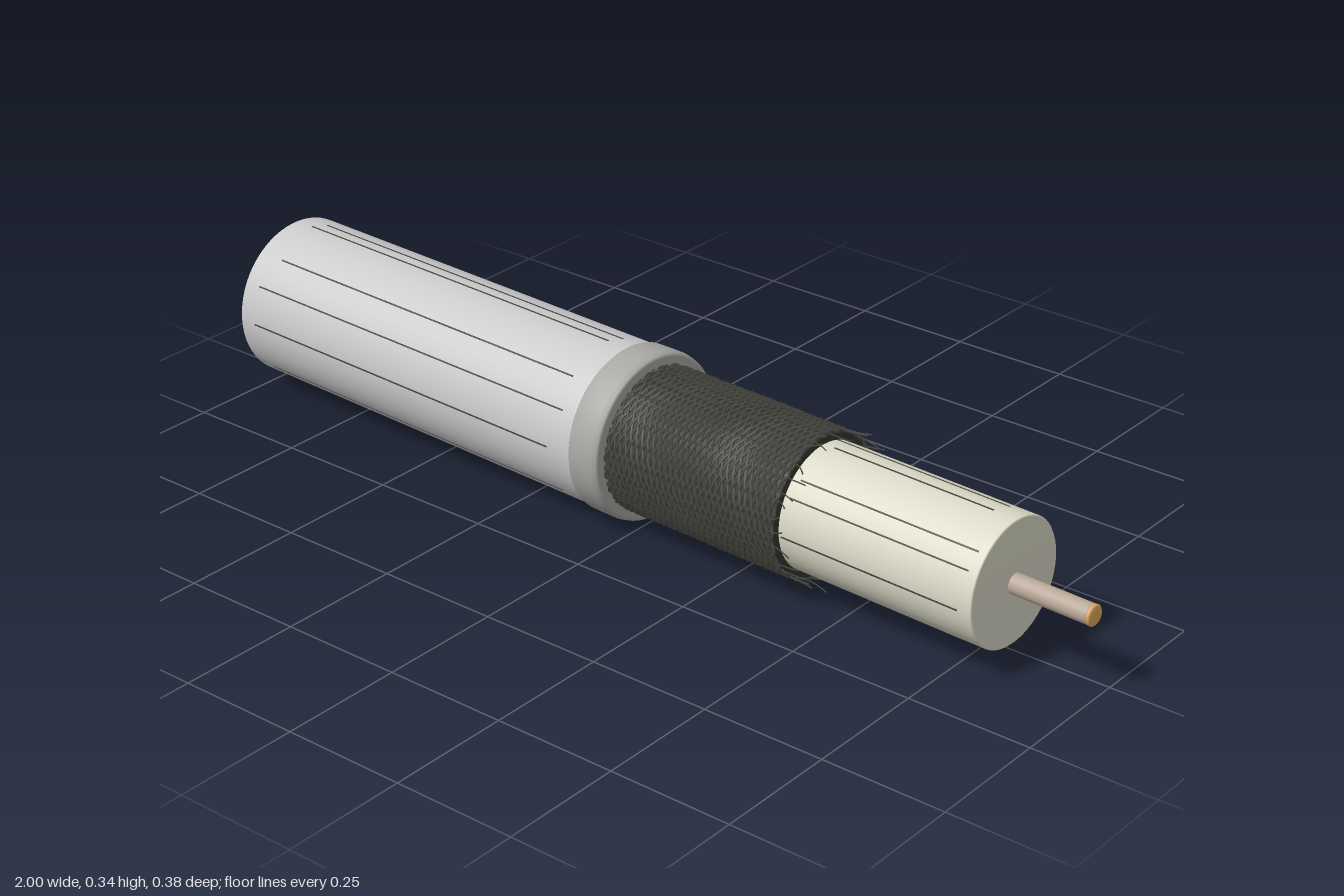
import * as THREE from 'three';

// small seeded generator for repeatable irregularities
function seeded(seed) {
  return () => {
    seed = (seed * 16807) % 2147483647;
    return seed / 2147483647;
  };
}

const material = (color) => new THREE.MeshStandardMaterial({ color });

// point on the cable, x along the axis
const onCable = (x, r, a) => new THREE.Vector3(x, r * Math.cos(a), r * Math.sin(a));

// solid of revolution around x, profile given as [x, radius]
function turned(name, profile, mat, sides = 64) {
  const geo = new THREE.LatheGeometry(profile.map(([x, r]) => new THREE.Vector2(r, x)), sides);
  geo.rotateZ(-Math.PI / 2);
  const mesh = new THREE.Mesh(geo, mat);
  mesh.name = name;
  return mesh;
}

// closed rod whose ends shade softly into the caps
function rod(name, x0, x1, r, soft, mat, sides) {
  return turned(name, [[x0, 0], [x0, r - 0.003], [x0 + 0.003, r], [x0 + soft, r],
    [x1 - soft, r], [x1 - 0.003, r], [x1, r - 0.003], [x1, 0]], mat, sides);
}

function wire(name, points, radius, segments, mat) {
  const curve = new THREE.CatmullRomCurve3(points);
  const mesh = new THREE.Mesh(new THREE.TubeGeometry(curve, segments, radius, 4), mat);
  mesh.name = name;
  return mesh;
}

// fine scored lines running along a sleeve
function scoreLines(name, count, x0, x1, r, rand, mat) {
  const group = new THREE.Group();
  group.name = name;
  for (let i = 0; i < count; i++) {
    const a = ((i + 0.7 * rand()) / count) * Math.PI * 2;
    const start = x0 + 0.04 * rand(), end = x1 - 0.04 * rand();
    const line = new THREE.Mesh(new THREE.BoxGeometry(end - start, 0.002, 0.003), mat);
    line.position.copy(onCable((start + end) / 2, r, a));
    line.rotation.x = a;
    line.name = 'scoreLine';
    group.add(line);
  }
  return group;
}

export function createModel() {
  const model = new THREE.Group();
  model.name = 'coaxialCable';
  const cable = new THREE.Group();
  cable.name = 'cable';
  model.add(cable);

  const grey = material(0xcccccc);
  const collarGrey = material(0xa8a8a4);
  const cream = material(0xdcdac8);
  const dark = material(0x4a4a44);
  const braidBase = material(0x34342f);
  const copper = material(0xe0a860);
  const coreGrey = material(0xb8a898);
  const rand = seeded(71);

  // outer jacket and the collar where it is cut
  cable.add(rod('jacket', -0.993, -0.06, 0.164, 0.08, grey));
  cable.add(turned('jacketCollar', [[-0.08, 0.13], [-0.08, 0.162], [-0.074, 0.168], [-0.05, 0.1685],
    [-0.02, 0.1685], [-0.008, 0.166], [-0.006, 0.16], [-0.006, 0.13]], collarGrey));
  cable.add(scoreLines('jacketLines', 13, -0.96, -0.1, 0.164, rand, dark));

  // braided shield: dark sleeve with two sets of woven helical strands
  cable.add(rod('shieldSleeve', -0.04, 0.4, 0.14, 0.02, braidBase));
  const braid = new THREE.Group();
  braid.name = 'braid';
  const strands = 24, turns = 1.25, steps = 72;
  for (const dir of [-1, 1]) {
    for (let i = 0; i < strands; i++) {
      const points = [];
      for (let k = 0; k <= steps; k++) {
        const t = k / steps;
        const a = (i / strands + dir * turns * t) * Math.PI * 2;
        const weave = dir * 0.002 * Math.cos(t * turns * strands * Math.PI * 2);
        points.push(onCable(-0.01 + 0.412 * t, 0.143 + weave, a));
      }
      braid.add(wire('braidStrand', points, 0.0032, steps, dark));
    }
  }
  cable.add(braid);

  // frayed wire ends past the cut of the braid
  const fray = new THREE.Group();
  fray.name = 'frayedWires';
  for (let i = 0; i < 30; i++) {
    const a = ((i + rand()) / 30) * Math.PI * 2;
    const length = 0.015 + 0.035 * rand();
    const twist = (rand() - 0.5) * 0.25;
    const lift = (rand() - 0.4) * 0.016;
    fray.add(wire('frayedWire', [onCable(0.385, 0.143, a),
      onCable(0.4 + length * 0.5, 0.143 + lift * 0.4, a + twist * 0.4),
      onCable(0.4 + length, 0.143 + lift, a + twist)], 0.0015, 5, dark));
  }
  cable.add(fray);

  // inner insulation
  cable.add(rod('insulation', 0.36, 0.828, 0.125, 0.06, cream));
  cable.add(scoreLines('insulationLines', 12, 0.4, 0.81, 0.125, rand, dark));

  // centre conductor with a bright cut end
  cable.add(rod('conductor', 0.8, 0.992, 0.02, 0.01, coreGrey, 24));
  cable.add(rod('conductorTip', 0.988, 0.9985, 0.0205, 0.004, copper, 24));

  cable.rotation.y = -0.045;
  cable.position.set(0, 0.171, 0.014);
  return model;
}
